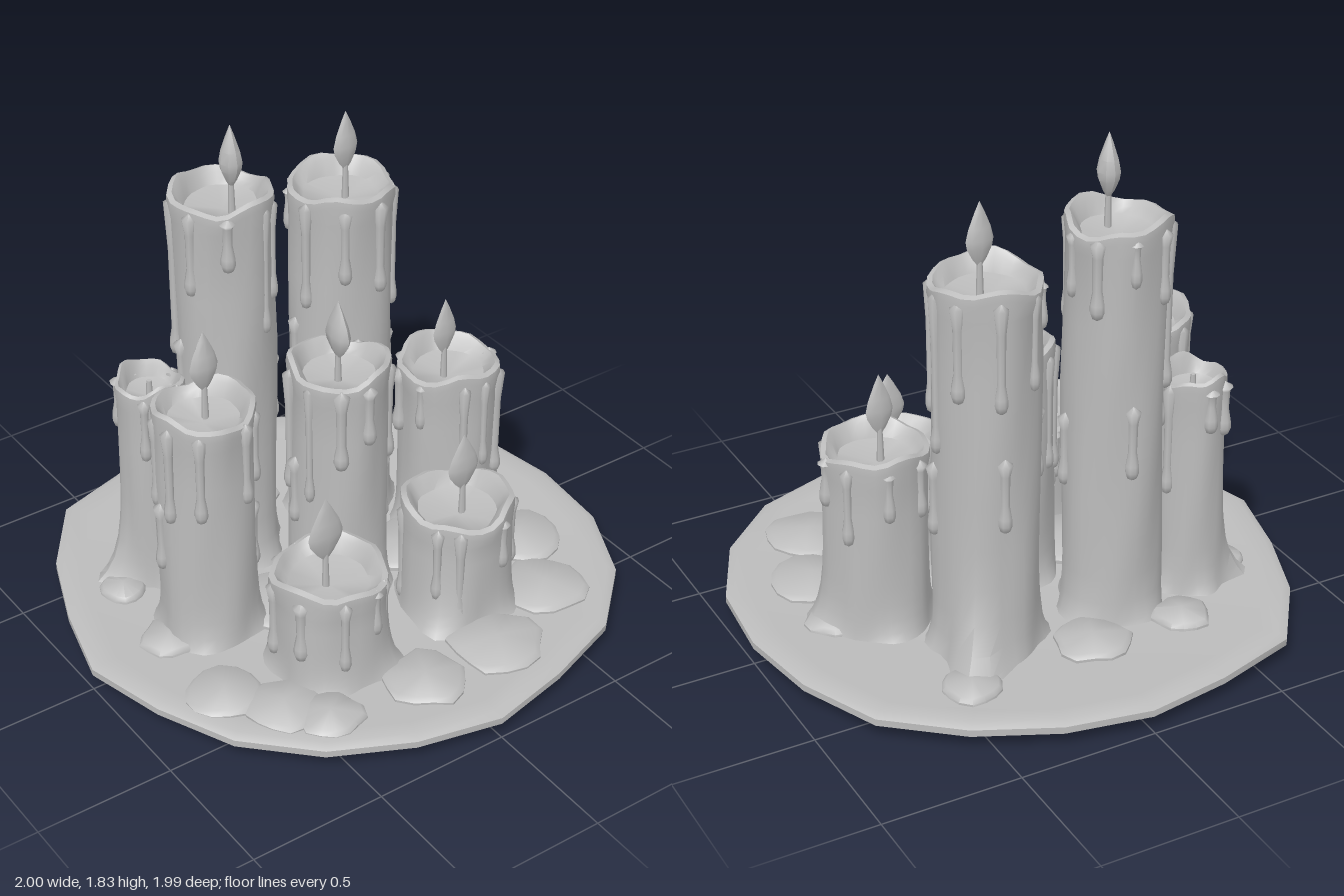
import * as THREE from 'three';
import { toCreasedNormals } from 'three/addons/utils/BufferGeometryUtils.js';

const wax = new THREE.MeshStandardMaterial({ color: 0xbcbcbc });
wax.name = 'grey wax';

// Skin a stack of closed rings; point(row, angle, i) gives [x, y, z], rows run up the outside
function loft(rows, n, point) {
  const pos = [], idx = [];
  for (let r = 0; r < rows; r++)
    for (let i = 0; i < n; i++) pos.push(...point(r, (i / n) * Math.PI * 2, i));
  for (let r = 0; r < rows - 1; r++)
    for (let i = 0; i < n; i++) {
      const a = r * n + i, b = r * n + (i + 1) % n;
      idx.push(a, b, b + n, a, b + n, a + n);
    }
  const g = new THREE.BufferGeometry();
  g.setAttribute('position', new THREE.Float32BufferAttribute(pos, 3));
  g.setIndex(idx);
  return toCreasedNormals(g, 0.75);
}

function add(parent, geometry, name) {
  const m = new THREE.Mesh(geometry, wax);
  m.name = name;
  parent.add(m);
  return m;
}

// Smooth bumpy ripple around a body, about -1..1
const ripple = (a, y, s) =>
  0.4 * Math.sin(3 * a + s + 2.2 * y) + 0.35 * Math.sin(5 * a + 2 * s - 2.7 * y) + 0.25 * Math.sin(9 * a + 3 * s + 1.5 * y);

// Repeatable scatter value 0..1
const scatter = (k) => {
  const v = Math.sin(k * 12.9898) * 43758.5453;
  return v - Math.floor(v);
};

// Uneven plate, pointed slightly downward at its centre
function makePlate(parent) {
  const radii = [1, 0.98, 1.02, 1.03, 1.02, 1, 1, 1.02, 0.99, 0.98, 0.99, 0.99, 1.05, 1, 0.97, 1, 0.97, 0.985, 0.985, 0.98];
  const profile = [[0, 0], [0.95, 0.045], [1, 0.06], [1, 0.085], [0.97, 0.1], [0.9, 0.092], [0, 0.085]];
  add(parent, loft(profile.length, radii.length, (r, a, i) => {
    const [k, y] = profile[r];
    return [radii[i] * k * Math.sin(a), y, radii[i] * k * Math.cos(a)];
  }), 'plate');
}

// Flattened pool of set wax
function makePuddle(parent, x, z, radius, s) {
  const profile = [[1.03, 0], [1.03, 0.02], [0.9, 0.034], [0, 0.05]];
  const m = add(parent, loft(profile.length, 14, (r, a) => {
    const k = radius * profile[r][0] * (1 + 0.13 * ripple(a, 0, s * 2.3));
    return [k * Math.sin(a), profile[r][1], k * Math.cos(a)];
  }), 'waxPuddle');
  m.position.set(x, 0.08, z);
}

// Candle body: rippled side, wax foot at the base, uneven rim and hollow top
function makeBody(parent, R, h, s, footAngle, footReach) {
  const base = 0.08, sideRows = 10;
  const top = [[1.04, 0.035], [1.03, 0.008], [0.93, 0], [0.84, 0.02], [0.72, 0.055], [0, 0.08]];
  add(parent, loft(sideRows + top.length, 28, (row, a) => {
    if (row >= sideRows) {
      const [k, drop] = top[row - sideRows];
      const wave = drop < 0.04 ? 0.016 * Math.sin(2 * a + s) + 0.009 * Math.sin(5 * a + 2 * s) : 0;
      const rad = R * k * (1 + 0.055 * ripple(a, h * 2, s));
      return [rad * Math.sin(a), h - drop + wave, rad * Math.cos(a)];
    }
    // side rows gather toward the base
    const d = (row / (sideRows - 1)) ** 1.8 * (h - base - 0.09);
    const gap = Math.atan2(Math.sin(a - footAngle), Math.cos(a - footAngle));
    const rad = R * (1 + 0.055 * ripple(a, (base + d) * 2, s))
      + 0.045 * Math.exp(-d / 0.05) * (0.6 + 0.4 * Math.sin(4 * a + s))
      + footReach * Math.exp(-((gap / 0.35) ** 2) - d / 0.13);
    return [rad * Math.sin(a), base + d, rad * Math.cos(a)];
  }), 'candleBody');
}

// Wax run hanging down the side and ending in a bead
function makeDrip(parent, R, a, start, length, w) {
  const len = Math.min(length, start - 0.1);
  const pts = [[0, 0], [0.7, 0.012], [1, 0.035], [0.95, 0.06], [0.62, 0.11], [0.7, 0.6 * len + 0.05], [1.1, len - 0.02], [0, len]]
    .map(([k, y]) => new THREE.Vector2(k * w, Math.min(y, len)));
  const m = add(parent, new THREE.LatheGeometry(pts, 8), 'waxDrip');
  m.position.set(Math.sin(a) * R, start - len, Math.cos(a) * R);
}

function makeWick(parent, x, z, bottom, top) {
  add(parent, new THREE.CylinderGeometry(0.009, 0.014, top - bottom, 6), 'wick').position.set(x, (top + bottom) / 2, z);
}

// Flat pointed flame
function makeFlame(parent, x, z, width, depth, y, height) {
  const shape = [[0.05, 0], [0.5, 0.13], [0.9, 0.3], [1, 0.42], [0.8, 0.6], [0.35, 0.84], [0, 1]];
  add(parent, loft(shape.length, 8, (r, a) => {
    const [k, t] = shape[r];
    return [(k * Math.sin(a) * width) / 2, t * height, (k * Math.cos(a) * depth) / 2];
  }), 'flame').position.set(x, y, z);
}

export function createModel() {
  const group = new THREE.Group();
  group.name = 'candleCluster';
  makePlate(group);

  // place: x, z, radius, height; foot: angle from the front, reach; flame: x, z, width, depth, tip
  const candles = [
    { name: 'tallestCandle', place: [-0.21, -0.34, 0.172, 1.565], flame: [0, 0.06, 0.08, 0.085, 1.83] },
    { name: 'tallCandle', place: [0.27, -0.33, 0.182, 1.45], foot: [2.5, 0.2], flame: [0.02, 0, 0.1, 0.045, 1.71] },
    { name: 'leftCandle', place: [-0.52, 0, 0.17, 1.005], flame: [0.02, -0.02, 0.11, 0.05, 1.27] },
    { name: 'centreCandle', place: [0.01, 0.03, 0.172, 0.995], flame: [-0.01, 0.01, 0.06, 0.13, 1.24] },
    { name: 'rightCandle', place: [0.54, -0.04, 0.178, 0.77], foot: [1.2, 0.06], flame: [-0.02, 0, 0.1, 0.035, 1.02] },
    { name: 'frontLeftCandle', place: [-0.3, 0.41, 0.192, 0.485], foot: [0.7, 0.06], flame: [-0.01, 0, 0.14, 0.04, 0.77] },
    { name: 'frontRightCandle', place: [0.27, 0.38, 0.192, 0.52], foot: [-0.8, 0.06], flame: [0.02, 0, 0.13, 0.04, 0.77] },
    { name: 'smallCandle', place: [-0.52, -0.35, 0.115, 0.92], foot: [-1.9, 0.1] },
  ];
  candles.forEach(({ name, place: [x, z, R, h], foot = [0, 0], flame }, i) => {
    const g = new THREE.Group();
    g.name = name;
    g.position.set(x, 0, z);
    group.add(g);
    makeBody(g, R, h, i * 1.9 + 0.6, ...foot);

    // runs from the rim, then lumps lower down on the tall candles
    const runs = R < 0.15 ? 5 : 9;
    for (let k = 0; k < runs; k++) {
      const s = i * 20 + k + 1;
      const a = ((k + 0.6 * scatter(s)) / runs) * Math.PI * 2;
      makeDrip(g, R, a, h - 0.02, 0.16 + (0.12 + 0.25 * h) * scatter(s + 0.5), 0.018 + 0.01 * scatter(s + 0.3));
    }
    if (h > 0.99)
      for (let k = 0; k < 3; k++) makeDrip(g, R, 1.4 + k * 1.6, h * (0.55 + 0.05 * k), 0.28, 0.025);

    if (flame) {
      const [fx, fz, width, depth, tip] = flame;
      const y = Math.min(h + 0.03, tip - 0.23);
      makeWick(g, fx, fz, h - 0.1, y + 0.03);
      makeFlame(g, fx, fz, width, depth, y, tip - y);
    } else makeWick(g, 0, 0, h - 0.1, h - 0.015);
  });

  // pools around the candles: x, z, radius
  [
    [-0.7, 0.37, 0.13], [-0.57, 0.54, 0.13], [-0.47, 0.67, 0.11], [-0.1, 0.7, 0.14], [0.22, 0.69, 0.16],
    [0.55, 0.54, 0.15], [0.66, 0.26, 0.15], [0.7, -0.02, 0.1], [-0.7, 0.02, 0.1], [-0.02, -0.55, 0.13],
    [-0.37, -0.56, 0.1], [0.47, -0.6, 0.1], [-0.69, -0.31, 0.08], [-0.26, 0.07, 0.16], [0.28, 0.06, 0.15],
  ].forEach(([x, z, radius], i) => makePuddle(group, x, z, radius, i));
  return group;
}
